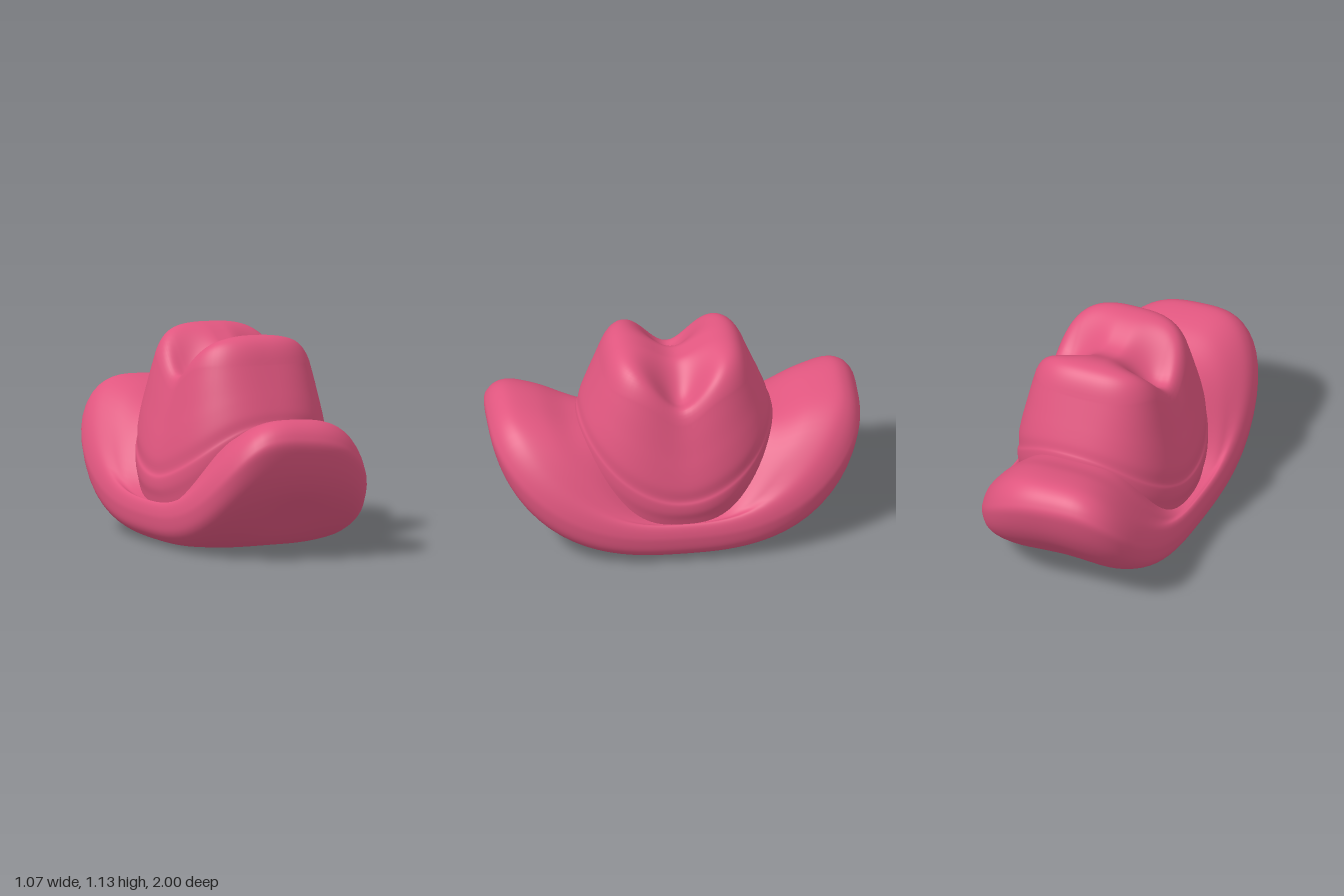
import * as THREE from 'three';

const SEGMENTS = 96;
const SWEEP = 2.7; // how late the height climbs from the sides to the z ends

// Rounded-rectangle style unit outline: higher n is squarer
function outline(angle, n) {
  const c = Math.cos(angle), s = Math.sin(angle);
  const k = Math.pow(Math.pow(Math.abs(c), n) + Math.pow(Math.abs(s), n), -1 / n);
  return [c * k, s * k];
}

// Skin a surface through closed rings; point(u, angle) gives each vertex
function loft(rows, point) {
  const positions = [], index = [];
  for (let i = 0; i <= rows; i++) {
    for (let j = 0; j < SEGMENTS; j++) {
      positions.push(...point(i / rows, (j / SEGMENTS) * Math.PI * 2));
    }
  }
  for (let i = 0; i < rows; i++) {
    for (let j = 0; j < SEGMENTS; j++) {
      const a = i * SEGMENTS + j, b = i * SEGMENTS + (j + 1) % SEGMENTS;
      const c = a + SEGMENTS, d = b + SEGMENTS;
      index.push(a, c, b, c, d, b);
    }
  }
  const geometry = new THREE.BufferGeometry();
  geometry.setAttribute('position', new THREE.Float32BufferAttribute(positions, 3));
  geometry.setIndex(index);
  geometry.computeVertexNormals();
  return geometry;
}

const profile = (points) => new THREE.SplineCurve(points.map(([r, y]) => new THREE.Vector2(r, y)));

// Brim: thick, closed underneath, swept up at both z ends
function brimGeometry() {
  const side = profile([
    [0, 0], [0.16, 0], [0.32, 0], [0.42, 0.01], [0.485, 0.04], [0.52, 0.085],
    [0.532, 0.15], [0.53, 0.19], [0.52, 0.225], [0.505, 0.24], [0.485, 0.225], [0.46, 0.215], [0.38, 0.215],
  ]);
  const end = profile([
    [0, 0], [0.26, 0], [0.5, 0.03], [0.7, 0.135], [0.86, 0.3], [0.955, 0.46],
    [1, 0.62], [0.985, 0.69], [0.935, 0.742], [0.86, 0.76], [0.72, 0.733], [0.57, 0.672], [0.42, 0.64],
  ]);
  return loft(72, (u, angle) => {
    const p = side.getPoint(u), q = end.getPoint(u);
    const [c, s] = outline(angle, 3.3);
    const x = p.x * c, z = q.x * s, az = Math.abs(z);
    const y = THREE.MathUtils.lerp(p.y, q.y, Math.pow(Math.abs(s), SWEEP));
    // the raised ends arch across x, lean to one side and droop on the other
    const droop = (0.11 * x + 0.15 * x * x) * az ** 3 * Math.abs(s);
    // shallow hollow under each raised end
    const hollow = u < 0.5 ? 0.045 * Math.exp(-(((az - 0.76) / 0.14) ** 2) - (x / 0.22) ** 2) : 0;
    return [x - 0.06 * az ** 3, y - droop + hollow, z];
  });
}

// Height of the crown top: two ridges along x with a pinched valley between
function crownTop(x, z, r) {
  const ax = Math.abs(x);
  const depth = 0.115 + 0.135 * THREE.MathUtils.smoothstep(ax, 0.04, 0.25)
    - 0.08 * THREE.MathUtils.smoothstep(ax, 0.26, 0.38);
  return 1.14 - 0.04 * x - 0.15 * r ** 8 - depth * Math.exp(-((z / 0.16) ** 2));
}

// Crown: tapering wall with a raised band at its foot, then the creased top
function crownGeometry() {
  const wall = [ // height fraction, half width in x, half width in z
    [0, 0.455, 0.55], [0.08, 0.465, 0.54], [0.16, 0.478, 0.53], [0.24, 0.478, 0.522], [0.29, 0.466, 0.512],
    [0.4, 0.464, 0.5], [0.55, 0.445, 0.476], [0.7, 0.42, 0.45], [0.85, 0.395, 0.424], [1, 0.368, 0.398],
  ];
  const widthX = profile(wall.map(([t, a]) => [a, t]));
  const widthZ = profile(wall.map(([t, , b]) => [b, t]));
  return loft(80, (u, angle) => {
    const isWall = u < 0.5;
    const v = isWall ? u * 2 : 1;
    const r = isWall ? 1 : 2 - u * 2;
    const p = widthX.getPoint(v), q = widthZ.getPoint(v);
    const [c, s] = outline(angle, 2.2 + 0.7 * v);
    const x = p.x * c * r, z = q.x * s * r;
    const base = 0.2 + 0.38 * Math.pow(Math.abs(s), SWEEP);
    const top = crownTop(0.368 * c * r, 0.398 * s * r, r);
    return [x + 0.01 + 0.01 * v, THREE.MathUtils.lerp(base, top, p.y), z];
  });
}

export function createModel() {
  const felt = new THREE.MeshStandardMaterial({ color: 0xe0567f });
  felt.name = 'pink felt';
  const hat = new THREE.Group();
  hat.name = 'hat';

  const brim = new THREE.Mesh(brimGeometry(), felt);
  brim.name = 'brim';
  const crown = new THREE.Mesh(crownGeometry(), felt);
  crown.name = 'crown';

  hat.add(brim, crown);
  return hat;
}
